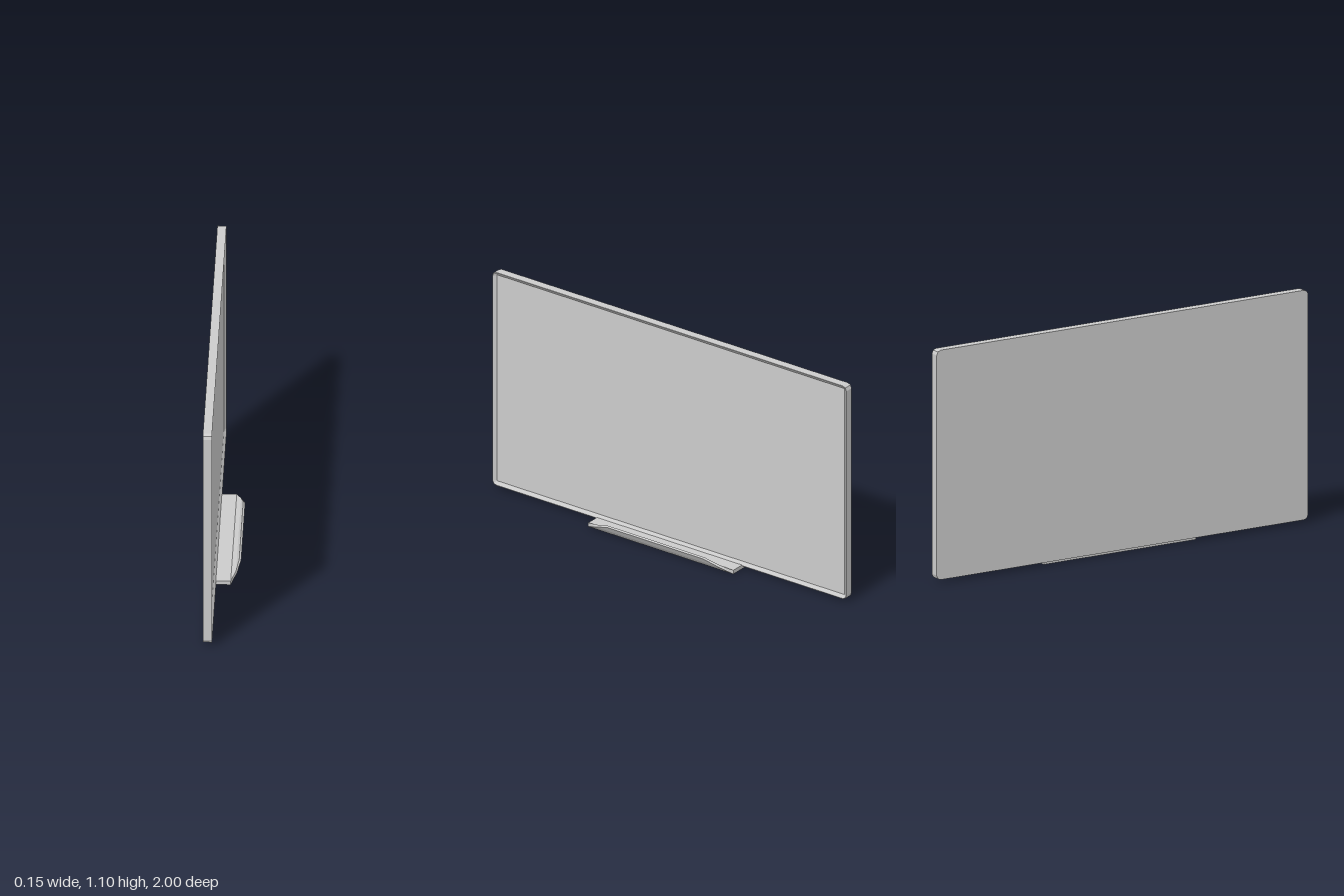
import * as THREE from 'three';

const material = new THREE.MeshStandardMaterial({ color: 0xcccccc, flatShading: true });

// Flat-sided skin over convex rings that follow each other towards +x,
// every ring running counter-clockwise as seen from +x.
function loft(name, rings, capStart = true, capEnd = true) {
  const pos = [];
  const tri = (a, b, c) => pos.push(...a, ...b, ...c);
  for (let i = 0; i + 1 < rings.length; i++) {
    const r = rings[i], s = rings[i + 1], n = r.length;
    for (let j = 0; j < n; j++) {
      const k = (j + 1) % n;
      tri(r[j], r[k], s[k]);
      tri(r[j], s[k], s[j]);
    }
  }
  const first = rings[0], last = rings[rings.length - 1];
  for (let j = 1; j + 1 < first.length; j++) {
    if (capStart) tri(first[0], first[j + 1], first[j]);
    if (capEnd) tri(last[0], last[j], last[j + 1]);
  }
  const geometry = new THREE.BufferGeometry();
  geometry.setAttribute('position', new THREE.Float32BufferAttribute(pos, 3));
  geometry.computeVertexNormals();
  const mesh = new THREE.Mesh(geometry, material);
  mesh.name = name;
  return mesh;
}

// Rectangle with two-step rounded corners, standing in the plane at x
const CENTRE_Y = 0.555, HALF_Y = 0.54, HALF_Z = 1, RADIUS = 0.022;
function outline(x, inset) {
  const ring = [], r = RADIUS - inset;
  const cy = HALF_Y - RADIUS, cz = HALF_Z - RADIUS;
  [[1, 1], [-1, 1], [-1, -1], [1, -1]].forEach(([sx, sy], corner) => {
    for (let step = 0; step <= 2; step++) {
      const a = (corner + step / 2) * Math.PI / 2;
      ring.push([x, CENTRE_Y + sy * cy + r * Math.sin(a), -(sx * cz + r * Math.cos(a))]);
    }
  });
  return ring;
}

export function createModel() {
  const group = new THREE.Group();
  group.name = 'wallBoard';

  // Frame with flat back and a bevelled rim sinking to the writing surface
  const back = -0.077, front = -0.036, sunk = -0.048;
  const rim = outline(sunk, 0.018);
  group.add(loft('frame', [outline(back, 0), outline(front, 0), outline(front, 0.002), rim], true, false));
  group.add(loft('writingSurface', [rim], false, true));

  // Tray: flat shelf, then a lip that bends up and narrows
  // each station: bottom x, bottom y, top x, top y, half width
  const stations = [
    [-0.057, 0, -0.057, 0.019, 0.41],
    [0.03, 0, 0.03, 0.019, 0.41],
    [0.057, 0.027, 0.052, 0.037, 0.345],
    [0.073, 0.053, 0.064, 0.058, 0.272],
  ];
  const tray = stations.map(([bx, by, tx, ty, w]) => [[bx, by, w], [bx, by, -w], [tx, ty, -w], [tx, ty, w]]);
  group.add(loft('penTray', tray));

  return group;
}
